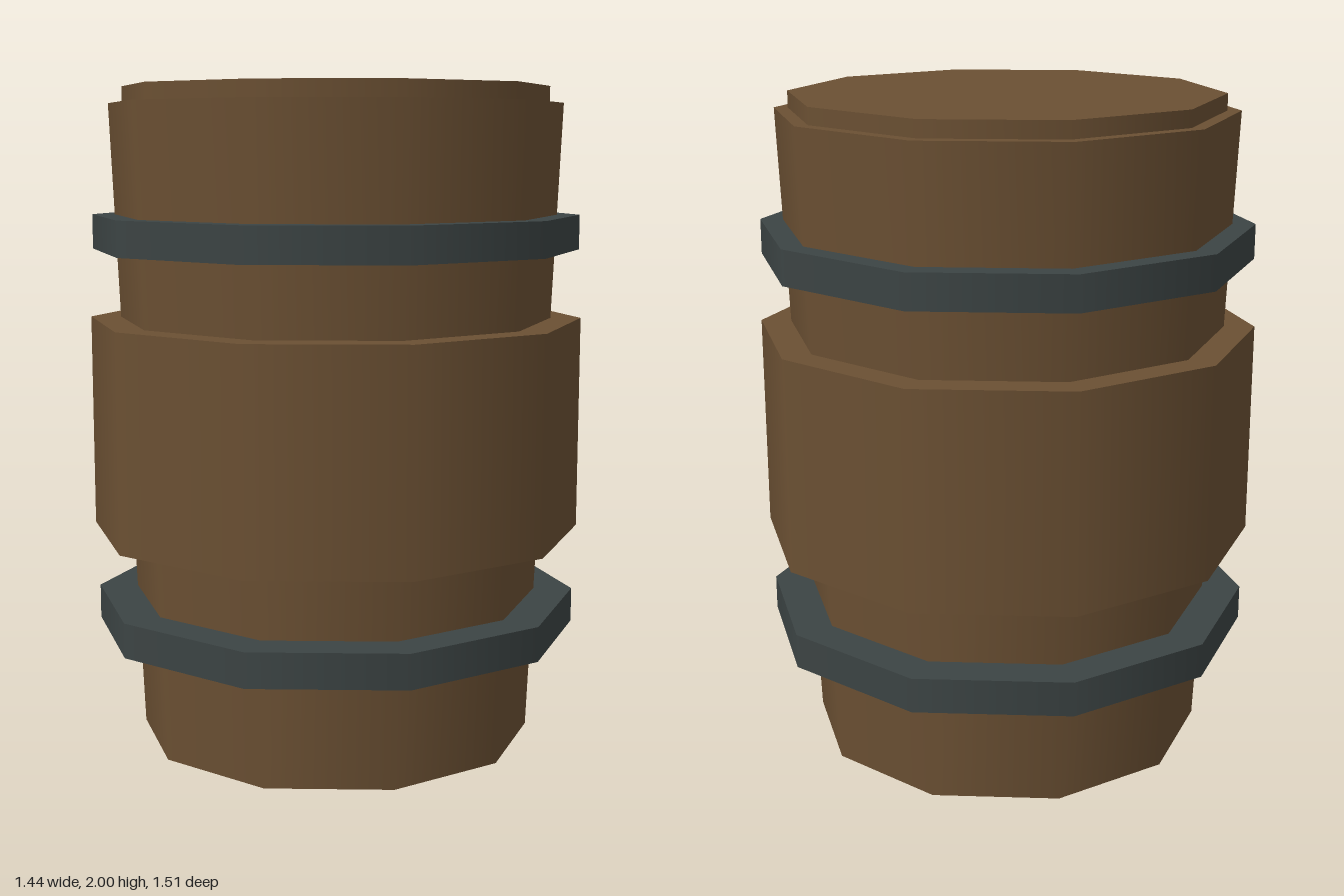
import * as THREE from 'three';

const SIDES = 10;

export function createModel() {
  const wood = new THREE.MeshStandardMaterial({ color: 0x6b5033 });
  wood.name = 'brown wood';
  const iron = new THREE.MeshStandardMaterial({ color: 0x3c4444 });
  iron.name = 'dark iron';

  const barrel = new THREE.Group();
  barrel.name = 'barrel';

  // Ten-sided drum between two heights, smooth around its side
  function drum(name, material, y0, y1, bottomRadius, topRadius = bottomRadius) {
    const geometry = new THREE.CylinderGeometry(topRadius, bottomRadius, y1 - y0, SIDES);
    const mesh = new THREE.Mesh(geometry, material);
    mesh.name = name;
    mesh.position.y = (y0 + y1) / 2;
    barrel.add(mesh);
  }

  // Tapered body, wide belly and raised lid
  drum('body', wood, 0, 1.95, 0.607, 0.69);
  drum('belly', wood, 0.65, 1.3, 0.755);
  drum('lid', wood, 1.9, 2, 0.648);

  // Iron hoops
  drum('lowerHoop', iron, 0.34, 0.445, 0.745);
  drum('upperHoop', iron, 1.51, 1.615, 0.745);

  return barrel;
}
